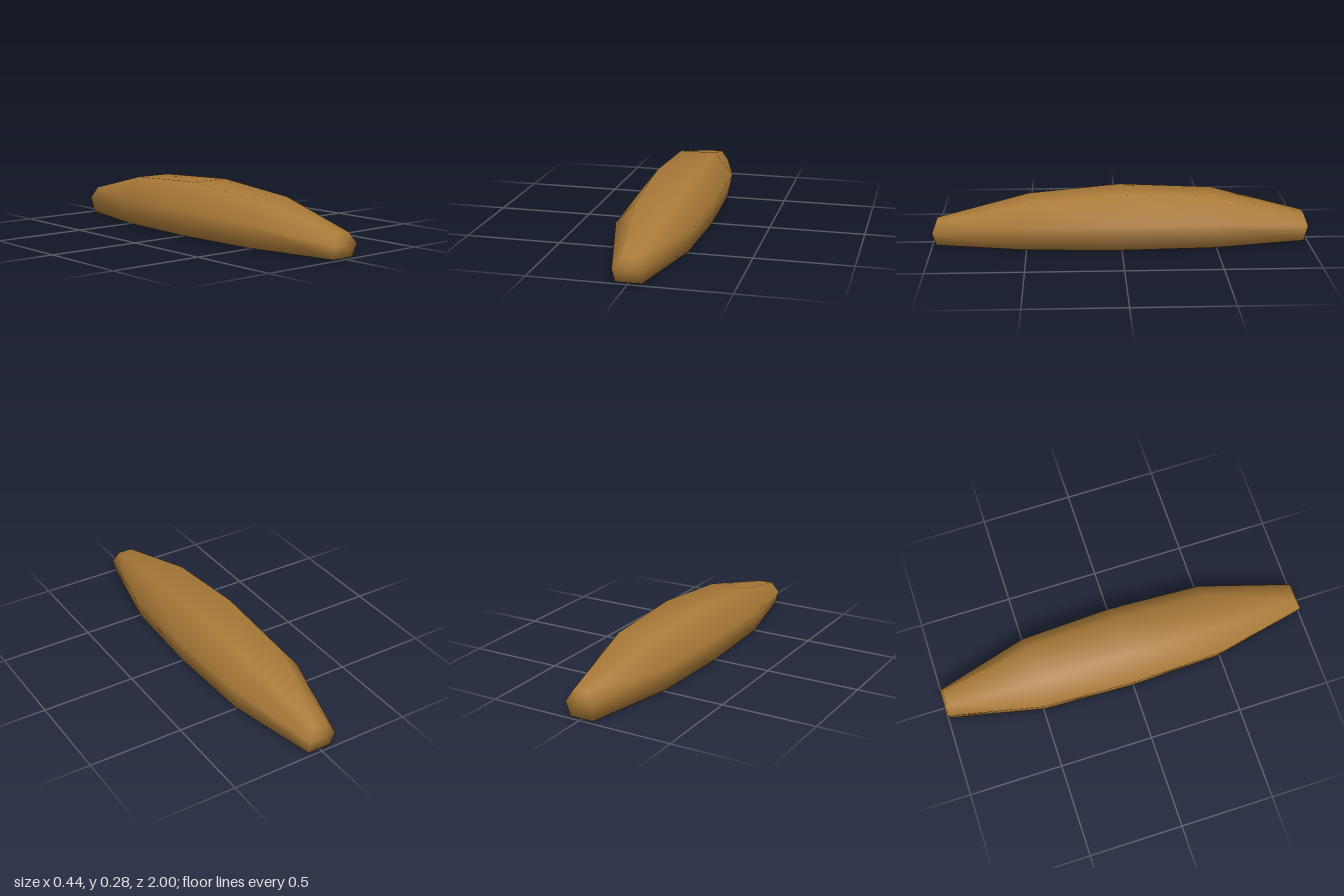
import * as THREE from 'three';

const hullBrown = new THREE.MeshStandardMaterial({ color: 0xaa7a38 });
hullBrown.name = 'hullBrown';
const undersideDark = new THREE.MeshStandardMaterial({ color: 0x1c0a1a });
undersideDark.name = 'undersideDark';

// Cross-sections from back to front; tip pushes the middle corners past the rest
const stations = [
  { z: -0.98, tip: -0.02, top: [0.04, 0.145], mid: [0.075, 0.085], low: [0.065, 0.002] },
  { z: -0.49, tip: -0.01, top: [0.1, 0.26], mid: [0.2, 0.135], low: [0.173, 0.004] },
  { z: 0, tip: 0, top: [0.11, 0.28], mid: [0.22, 0.14], low: [0.19, 0.002] },
  { z: 0.49, tip: 0.01, top: [0.1, 0.237], mid: [0.2, 0.13], low: [0.173, 0.004] },
  { z: 0.98, tip: 0.02, top: [0.04, 0.125], mid: [0.075, 0.07], low: [0.065, 0.002] },
];

// Smooth six-sided hull, lofted through the stations and capped at both ends
function hullGeometry() {
  const pos = [];
  const index = [];
  for (const { z, tip, top, mid, low } of stations) {
    pos.push(mid[0], mid[1], z + tip, top[0], top[1], z, -top[0], top[1], z);
    pos.push(-mid[0], mid[1], z + tip, -low[0], low[1], z, low[0], low[1], z);
  }
  for (let i = 0; i < stations.length - 1; i++) {
    for (let j = 0; j < 6; j++) {
      const a = i * 6 + j;
      const b = i * 6 + ((j + 1) % 6);
      index.push(a, b, b + 6, a, b + 6, a + 6);
    }
  }
  const back = pos.length / 3;
  const front = back + 1;
  pos.push(0, 0.08, -1, 0, 0.065, 1);
  const last = (stations.length - 1) * 6;
  for (let j = 0; j < 6; j++) {
    const k = (j + 1) % 6;
    index.push(back, k, j, front, last + j, last + k);
  }
  const geo = new THREE.BufferGeometry();
  geo.setAttribute('position', new THREE.Float32BufferAttribute(pos, 3));
  geo.setIndex(index);
  geo.computeVertexNormals();
  return geo;
}

// Irregular dark patch on the flat bottom, as [x, z] outline
function patchGeometry() {
  const outline = [
    [0.02, 0.9], [0.07, 0.78], [0.13, 0.52], [0.155, 0.32], [0.175, 0.06],
    [0.175, -0.34], [0.135, -0.63], [0.015, -0.88], [-0.07, -0.76], [-0.12, -0.685],
    [-0.117, -0.565], [-0.15, -0.07], [-0.158, 0.175], [-0.14, 0.43], [-0.087, 0.67],
    [-0.02, 0.91],
  ];
  const shape = new THREE.Shape(outline.map(([x, z]) => new THREE.Vector2(x, z)));
  return new THREE.ShapeGeometry(shape).rotateX(Math.PI / 2);
}

export function createModel() {
  const model = new THREE.Group();
  model.name = 'hullModel';
  const hull = new THREE.Mesh(hullGeometry(), hullBrown);
  hull.name = 'hull';
  const patch = new THREE.Mesh(patchGeometry(), undersideDark);
  patch.name = 'undersidePatch';
  model.add(hull, patch);
  return model;
}
